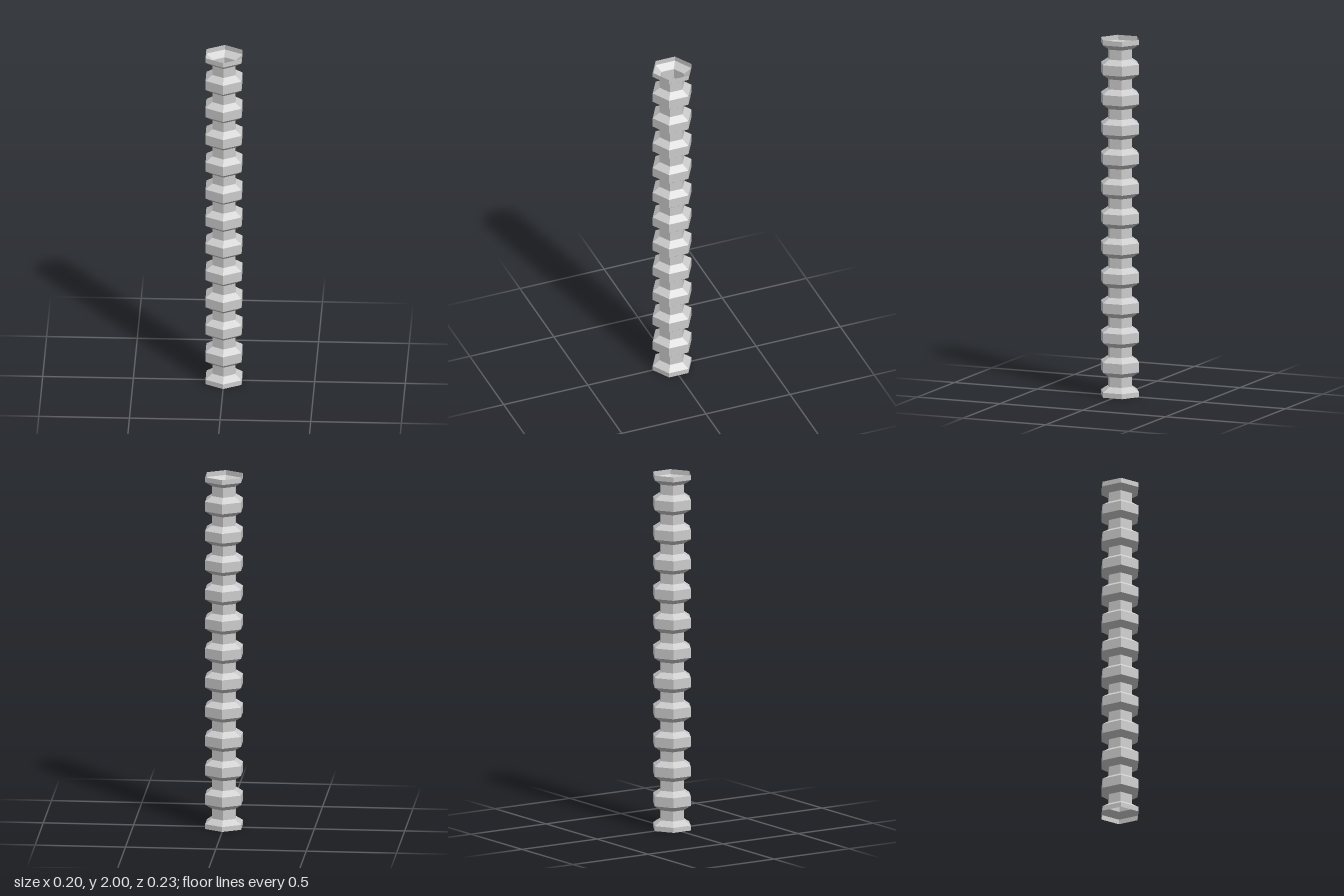
import * as THREE from 'three';

export function createModel() {
  const group = new THREE.Group();
  group.name = 'ribbedTube';

  const ribs = 12, pitch = 2 / ribs;   // rib spacing along the height
  const outer = 0.115, inner = 0.073;  // corner radii of ribs and necks
  const flat = pitch / 6, foot = pitch / 3; // half-heights of rib face and rib base

  // Profile from bottom to top, starting and ending in the middle of a rib
  const profile = [new THREE.Vector2(outer, 0)];
  for (let i = 0; i < ribs; i++) {
    const y = i * pitch;
    profile.push(
      new THREE.Vector2(outer, y + flat),
      new THREE.Vector2(inner, y + foot),
      new THREE.Vector2(inner, y + pitch - foot),
      new THREE.Vector2(outer, y + pitch - flat)
    );
  }
  profile.push(new THREE.Vector2(outer, 2));

  // Thin hexagonal shell, open at both ends
  const material = new THREE.MeshStandardMaterial({
    color: 0xcccccc, flatShading: true, side: THREE.DoubleSide
  });
  const shell = new THREE.Mesh(new THREE.LatheGeometry(profile, 6), material);
  shell.name = 'hexagonalShell';
  group.add(shell);
  return group;
}
